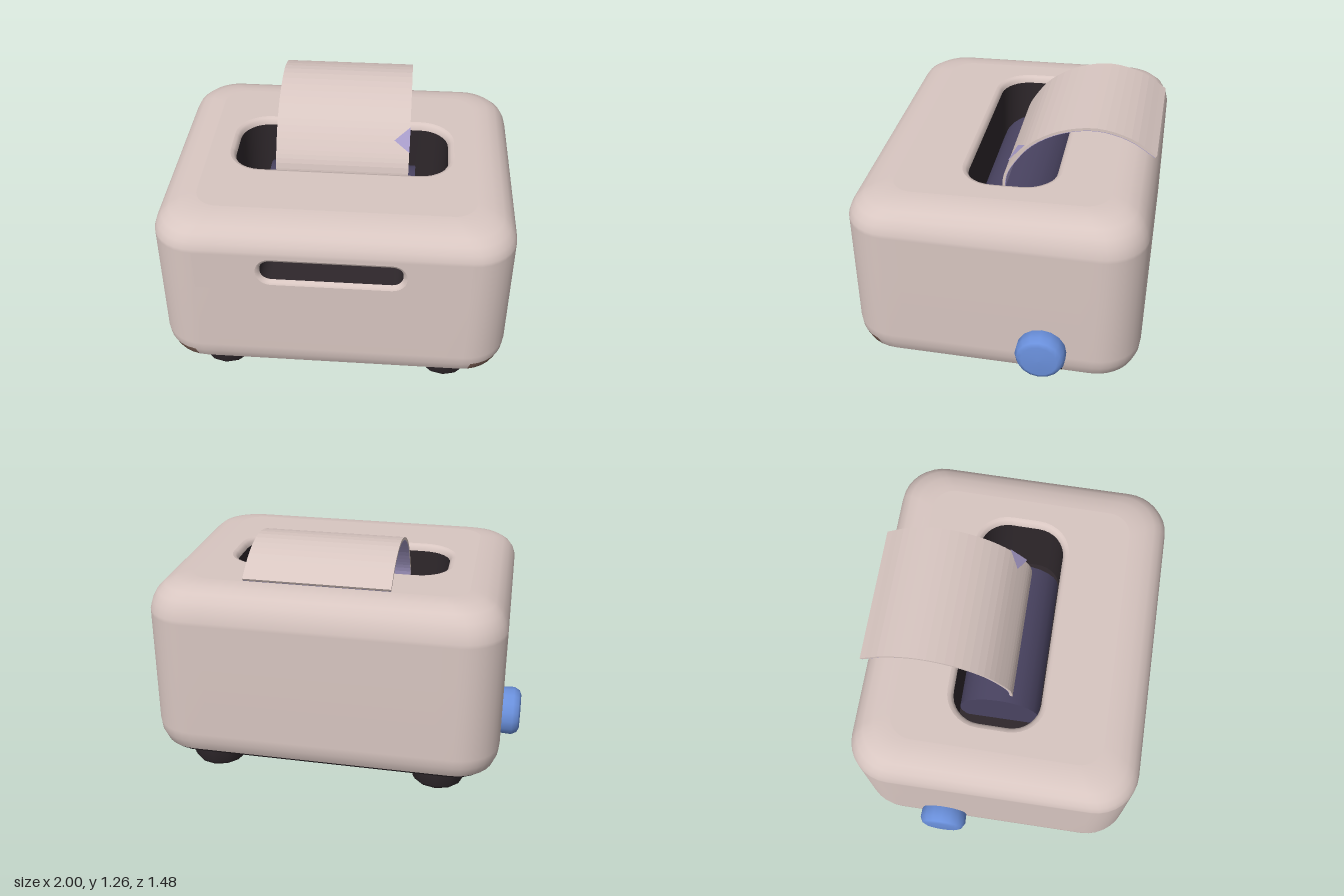
import * as THREE from 'three';

const mat = (name, color, side = THREE.FrontSide) => {
  const m = new THREE.MeshStandardMaterial({ color, side });
  m.name = name;
  return m;
};

// Rounded rectangle outline as [u, v] pairs, with subdivided straight sides
function outline(hu, hv, r, arc = 8, straight = 14) {
  const corners = [[1, 1], [-1, 1], [-1, -1], [1, -1]];
  const pts = [];
  corners.forEach(([su, sv], k) => {
    for (let i = 0; i <= arc; i++) {
      const a = (k + i / arc) * Math.PI / 2;
      pts.push([su * (hu - r) + r * Math.cos(a), sv * (hv - r) + r * Math.sin(a)]);
    }
    const [p, q] = corners[(k + 1) % 4];
    const a = (k + 1) * Math.PI / 2;
    const end = [p * (hu - r) + r * Math.cos(a), q * (hv - r) + r * Math.sin(a)];
    const start = pts[pts.length - 1];
    for (let i = 1; i < straight; i++) {
      const t = i / straight;
      pts.push([start[0] + (end[0] - start[0]) * t, start[1] + (end[1] - start[1]) * t]);
    }
  });
  return pts;
}

// Skin between closed rings; pick(centre) gives a material index, or -1 for a gap
function loft(rings, pick = () => 0) {
  const n = rings[0].length;
  const buckets = [[], [], []];
  const mid = new THREE.Vector3();
  for (let j = 0; j < rings.length - 1; j++) {
    for (let i = 0; i < n; i++) {
      const k = (i + 1) % n;
      mid.copy(rings[j][i]).add(rings[j][k]).add(rings[j + 1][i]).add(rings[j + 1][k]).multiplyScalar(0.25);
      const m = pick(mid);
      if (m < 0) continue;
      const a = j * n + i, b = j * n + k;
      buckets[m].push(a, a + n, b, b, a + n, b + n);
    }
  }
  const g = new THREE.BufferGeometry().setFromPoints(rings.flat());
  g.setIndex(buckets.flat());
  let start = 0;
  buckets.forEach((b, m) => {
    if (b.length) g.addGroup(start, b.length, m);
    start += b.length;
  });
  g.computeVertexNormals();
  return g;
}

const toShape = (pts) => new THREE.Shape(pts.map(([u, v]) => new THREE.Vector2(u, v)));
const toPath = (pts) => new THREE.Path(pts.map(([u, v]) => new THREE.Vector2(u, v)));

// The lid rises slightly towards the back
const tilt = (y, z) => y - z * 0.027 * THREE.MathUtils.clamp((y - 0.89) / 0.13, 0, 1);

export function createModel() {
  const group = new THREE.Group();
  const shell = mat('warmGrey', 0xd8c6c1);
  const dark = mat('charcoal', 0x2e272b);
  const brown = mat('brown', 0x7d6257);
  const blue = mat('blue', 0x6a90dc);
  const lavender = mat('lavender', 0xa79cc9, THREE.DoubleSide);
  const indigo = mat('indigo', 0x4a4462);
  const add = (name, geometry, material) => {
    const mesh = new THREE.Mesh(geometry, material);
    mesh.name = name;
    group.add(mesh);
    return mesh;
  };

  // Housing walls: [inset, height], with a gap in front for the slot panel
  const HX = 0.905, HZ = 0.74, R = 0.22, TOP = 1.03;
  const plan = (inset) => outline(HX - inset, HZ - inset, R - inset * 0.5);
  const profile = [[0.14, 0.09], [0.085, 0.1], [0.045, 0.125], [0.025, 0.145], [0.005, 0.2], [0, 0.25],
    [0, 0.65], [0, 0.87], [0, 0.89], [0.012, 0.93], [0.035, 0.97], [0.07, 1.0], [0.12, 1.02], [0.17, 1.028], [0.2, TOP]];
  const walls = profile.map(([inset, y]) =>
    plan(inset).map(([x, z]) => new THREE.Vector3(x, tilt(y, z), z)));
  add('housing', loft(walls, (c) => {
    if (c.z > 0.735 && Math.abs(c.x) < 0.684 && c.y > 0.65 && c.y < 0.87) return -1;
    if (c.y < 0.115) return 1;
    if (c.y < 0.15) return c.z > 0.58 ? 2 : 1;
    if (c.y < 0.2 && c.z > 0.58 && Math.abs(c.x) > 0.72) return 2;
    if (c.y < 0.2 && Math.abs(c.x) > 0.88 && Math.abs(c.z + 0.26) < 0.09) return 1;
    return 0;
  }), [shell, dark, brown]);

  const base = new THREE.ShapeGeometry(toShape(plan(0.14)));
  base.rotateX(Math.PI / 2).translate(0, 0.09, 0);
  add('basePlate', base, dark);

  // Lid with the paper well cut into it
  const WZ = -0.025;
  const well = (grow) => outline(0.565 + grow, 0.225 + grow, 0.15 + grow);
  const lidShape = toShape(plan(0.2));
  lidShape.holes.push(toPath(well(0.03).map(([x, z]) => [x, z - WZ])));
  const lid = new THREE.ShapeGeometry(lidShape).rotateX(-Math.PI / 2);
  const lp = lid.attributes.position;
  for (let i = 0; i < lp.count; i++) lp.setY(i, tilt(TOP, lp.getZ(i)));
  add('lid', lid, shell);

  const wellRings = (list) => list.map(([grow, drop]) =>
    well(grow).map(([x, z]) => new THREE.Vector3(x, tilt(TOP, z + WZ) - drop, z + WZ)));
  add('wellLip', loft(wellRings([[0.03, 0], [0.015, 0.005], [0.004, 0.018], [0, 0.035]])), shell);
  add('wellWall', loft(wellRings([[0, 0.035], [0, 0.5]])), dark);
  const floor = new THREE.ShapeGeometry(toShape(well(0))).rotateX(-Math.PI / 2);
  add('wellFloor', floor.translate(0, 0.54, WZ), dark);

  // Paper roll lying in the well
  const roll = new THREE.CylinderGeometry(0.215, 0.215, 0.79, 24).rotateZ(Math.PI / 2);
  add('paperRoll', roll.translate(0, 0.66, WZ), indigo);

  // Front panel with the long slot
  const SY = 0.77;
  const slot = (grow) => outline(0.355 + grow, 0.06 + grow, 0.055 + grow, 6, 4);
  const panelShape = new THREE.Shape([[-0.685, 0.65], [0.685, 0.65], [0.685, 0.87], [-0.685, 0.87]]
    .map(([x, y]) => new THREE.Vector2(x, y)));
  panelShape.holes.push(toPath(slot(0.02).map(([x, y]) => [x, y + SY])));
  add('frontPanel', new THREE.ShapeGeometry(panelShape).translate(0, 0, HZ), shell);
  const slotRings = (list) => list.map(([grow, depth]) =>
    slot(grow).map(([x, y]) => new THREE.Vector3(x, SY - y, HZ - depth)));
  add('slotLip', loft(slotRings([[0.02, 0], [0.007, 0.006], [0, 0.022]])), shell);
  add('slotWall', loft(slotRings([[0, 0.022], [0, 0.16]])), dark);
  add('slotBack', new THREE.ShapeGeometry(toShape(slot(0))).translate(0, SY, HZ - 0.16), dark);

  // Curling sheet: a thin curved strip pulled along x
  const curl = new THREE.CatmullRomCurve3([[0.045, 0.8], [0.035, 0.94], [-0.01, 1.03], [-0.1, 1.14], [-0.25, 1.228],
    [-0.43, 1.262], [-0.6, 1.222], [-0.73, 1.14]].map(([z, y]) => new THREE.Vector3(z, y, 0)));
  const strip = (from, to, width) => {
    const outer = [], inner = [];
    for (let i = 0; i <= 28; i++) {
      const p = curl.getPoint(i / 28), t = curl.getTangent(i / 28);
      outer.push(new THREE.Vector2(p.x + t.y * from, p.y - t.x * from));
      inner.unshift(new THREE.Vector2(p.x + t.y * to, p.y - t.x * to));
    }
    const g = new THREE.ExtrudeGeometry(new THREE.Shape([...outer, ...inner]),
      { depth: width, bevelEnabled: false, steps: 1 });
    return g.translate(0, 0, -width / 2).rotateY(-Math.PI / 2);
  };
  add('paperSheet', strip(0, -0.014, 0.714), shell);
  add('paperUnderside', strip(-0.014, -0.017, 0.712), lavender);

  // Torn corner flap on the sheet's edge
  const flap = new THREE.BufferGeometry().setFromPoints([
    new THREE.Vector3(0.275, 1.075, -0.025),
    new THREE.Vector3(0.358, 1.025, 0.015),
    new THREE.Vector3(0.358, 1.13, -0.075)]);
  flap.computeVertexNormals();
  add('paperFlap', flap, lavender);

  // Side knobs and feet, mirrored
  const knobProfile = [[0.11, 0], [0.125, 0.03], [0.127, 0.08], [0.112, 0.108], [0.09, 0.118], [0, 0.12]]
    .map(([r, h]) => new THREE.Vector2(r, h));
  const footProfile = [[0, 0], [0.13, 0], [0.142, 0.02], [0.152, 0.08], [0.155, 0.13]]
    .map(([r, h]) => new THREE.Vector2(r, h));
  for (const s of [1, -1]) {
    const side = s > 0 ? 'left' : 'right';
    const knob = add(side + 'Knob', new THREE.LatheGeometry(knobProfile, 16), blue);
    knob.rotation.z = -s * Math.PI / 2;
    knob.position.set(s * 0.88, 0.295, -0.262);
    for (const f of [1, -1]) {
      const foot = add(side + (f > 0 ? 'Front' : 'Back') + 'Foot', new THREE.LatheGeometry(footProfile, 12), dark);
      foot.position.set(s * 0.595, 0, f * 0.495);
    }
  }
  return group;
}
